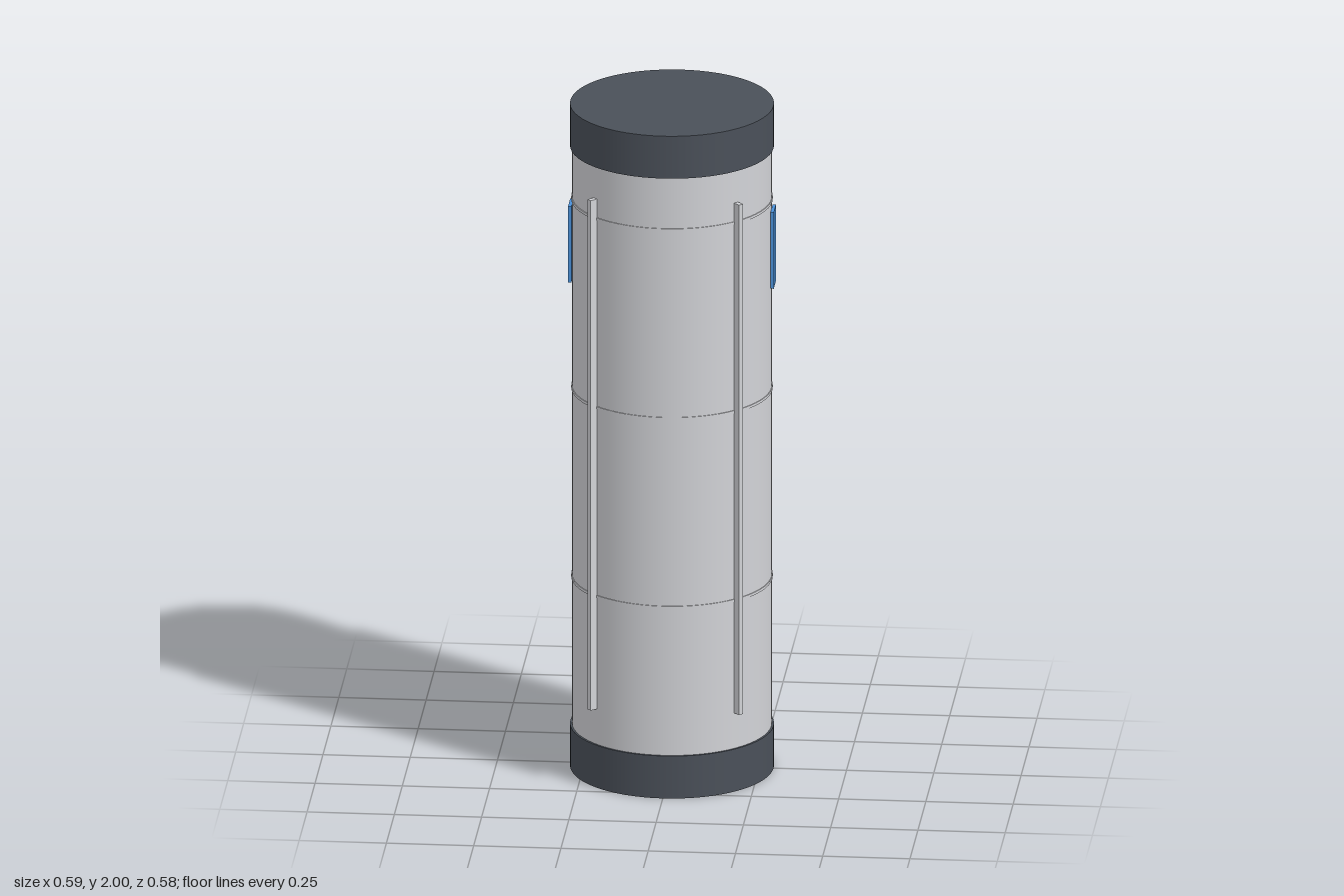
import * as THREE from 'three';

const paint = (name, color) => {
  const m = new THREE.MeshStandardMaterial({ color });
  m.name = name;
  return m;
};

export function createModel() {
  const shell = paint('light grey shell', 0xd2d3d7);
  const dark = paint('dark slate', 0x4a5059);
  const blue = paint('blue panel', 0x4a90d9);

  const model = new THREE.Group();
  model.name = 'canister';
  const add = (name, geometry, material, x, y, z, turn = 0) => {
    const mesh = new THREE.Mesh(geometry, material);
    mesh.name = name;
    mesh.position.set(x, y, z);
    mesh.rotation.y = turn;
    model.add(mesh);
    return mesh;
  };

  // Main barrel
  add('barrel', new THREE.CylinderGeometry(0.285, 0.285, 1.76, 64), shell, 0, 1, 0);

  // End caps
  const cap = new THREE.CylinderGeometry(0.291, 0.291, 0.128, 64);
  add('bottomCap', cap, dark, 0, 0.064, 0);
  add('topCap', cap, dark, 0, 1.936, 0);

  // Fine raised seams around the barrel
  const seam = new THREE.CylinderGeometry(0.2875, 0.2875, 0.008, 64);
  [0.575, 1.145, 1.715].forEach((y, i) => add('seam' + (i + 1), seam, shell, 0, y, 0));

  // Four slim rails on the diagonals
  const rail = new THREE.BoxGeometry(0.015, 1.54, 0.024);
  for (let i = 0; i < 4; i++) {
    const a = Math.PI / 4 + i * Math.PI / 2;
    add('rail' + (i + 1), rail, shell, Math.sin(a) * 0.296, 1.005, Math.cos(a) * 0.296, a);
  }

  // Blue panels on both sides
  const panel = new THREE.BoxGeometry(0.0095, 0.23, 0.07);
  add('leftPanel', panel, blue, 0.29, 1.575, 0);
  add('rightPanel', panel, blue, -0.29, 1.575, 0);

  return model;
}
